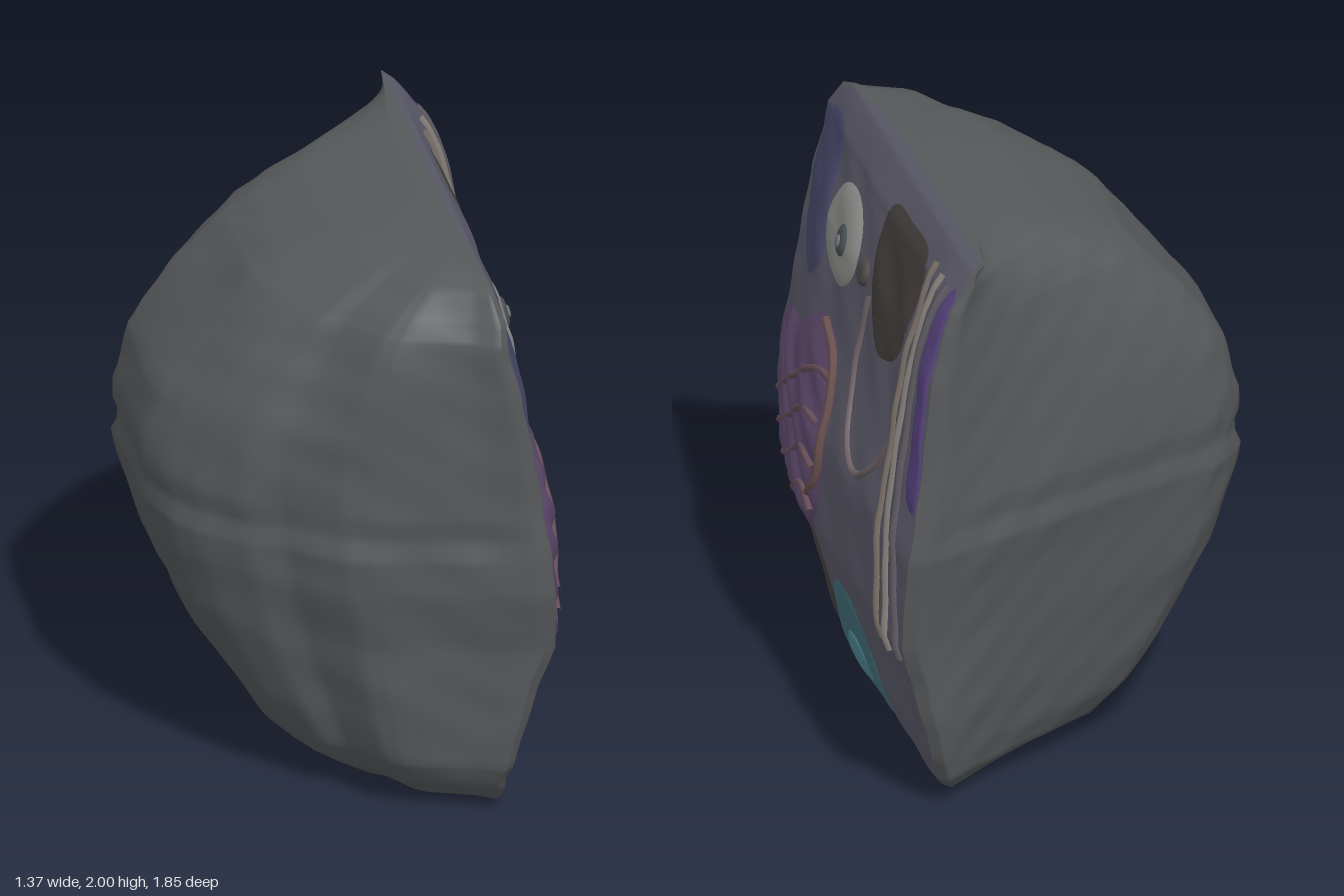
import * as THREE from 'three';

// Height profile: y, left-most x, carved-face x, back z, front z
const PROFILE = [
  [0, 0.05, 0.38, -0.55, 0.62], [0.03, -0.06, 0.44, -0.68, 0.72], [0.1, -0.2, 0.49, -0.78, 0.79],
  [0.2, -0.3, 0.53, -0.82, 0.85], [0.35, -0.4, 0.57, -0.85, 0.87], [0.5, -0.49, 0.61, -0.86, 0.88],
  [0.65, -0.57, 0.66, -0.88, 0.89], [0.85, -0.63, 0.655, -0.9, 0.93], [1.0, -0.67, 0.65, -0.92, 0.93],
  [1.2, -0.675, 0.62, -0.9, 0.91], [1.4, -0.62, 0.585, -0.88, 0.91], [1.6, -0.47, 0.55, -0.87, 0.91],
  [1.78, -0.31, 0.5, -0.85, 0.89], [1.85, -0.2, 0.47, -0.84, 0.86], [1.93, -0.02, 0.41, -0.82, 0.8],
  [1.97, 0.14, 0.38, -0.8, 0.7], [2.0, 0.28, 0.34, -0.79, 0.3],
];

// Rounded rough side seen from above: depth (0 = far left, 1 = carved face), z as share of the width
const OUTLINE = [
  [1, -0.97], [0.96, -1], [0.84, -0.93], [0.69, -0.84], [0.53, -0.75], [0.3, -0.63], [0.1, -0.52], [0.04, -0.45],
  [0, -0.36], [0, 0.18], [0.04, 0.36], [0.1, 0.49], [0.2, 0.62], [0.3, 0.67], [0.375, 0.75], [0.45, 0.83],
  [0.53, 0.87], [0.69, 0.91], [0.84, 0.95], [0.96, 1], [1, 0.97],
];

const lerp = THREE.MathUtils.lerp;
const smooth = THREE.MathUtils.smoothstep;
const FACE_COLS = 44, SUB = 5;

function profileAt(y) {
  let i = 0;
  while (i < PROFILE.length - 2 && y > PROFILE[i + 1][0]) i++;
  const a = PROFILE[i], b = PROFILE[i + 1];
  const t = THREE.MathUtils.clamp((y - a[0]) / (b[0] - a[0]), 0, 1);
  return a.map((v, k) => lerp(v, b[k], t));
}

// Chipped-stone roughness
function rough(x, y, z) {
  return 0.5 * Math.sin(9 * x + 5 * y + 7 * z) + 0.3 * Math.sin(17 * z - 11 * y + 3 * x)
    + 0.2 * Math.sin(31 * y + 23 * x - 19 * z);
}

// The carved face leans back towards the front and is slightly hollow above its middle
function faceX(y, z) {
  const lean = -0.085 * smooth(z, 0.2, 0.95) - 0.03 * smooth(-z, 0.7, 0.95);
  const hollow = -0.04 * smooth(y, 0.9, 1.3) * (1 - smooth(Math.abs(z + 0.05), 0.35, 0.7));
  const k = smooth(y, 0, 0.15) * (1 - smooth(y, 1.75, 2));
  return profileAt(y)[2] + (lean + hollow) * k + 0.009 * rough(0.5, y, z) * k;
}

function ringAt(y) {
  const [, xMin, , zBack, zFront] = profileAt(y);
  const ring = [];
  for (let j = 0; j <= FACE_COLS; j++) {
    const z = lerp(zFront, zBack, j / FACE_COLS) * 0.97;
    ring.push(new THREE.Vector3(faceX(y, z), y, z));
  }
  const groove = 0.025 * Math.exp(-(((y - 1.06) / 0.025) ** 2));
  for (let i = 0; i < OUTLINE.length - 1; i++) {
    for (let s = 0; s < 4; s++) {
      const u = lerp(OUTLINE[i][0], OUTLINE[i + 1][0], s / 4);
      const w = lerp(OUTLINE[i][1], OUTLINE[i + 1][1], s / 4);
      const z = w < 0 ? -w * zBack : w * zFront;
      const x = lerp(xMin, faceX(y, z), u);
      const k = smooth(1 - u, 0, 0.2) * smooth(y, 0, 0.15) * (1 - smooth(y, 1.8, 2));
      const d = k * (0.012 * rough(x, y, z) - groove);
      ring.push(new THREE.Vector3(x - d * (1 - u), y, z + d * w));
    }
  }
  ring.push(ring[0].clone());
  return ring;
}

// Skin a grid of points
function gridGeometry(rows) {
  const n = rows[0].length, index = [];
  for (let i = 0; i < rows.length - 1; i++) {
    for (let j = 0; j < n - 1; j++) {
      const a = i * n + j, b = a + n;
      index.push(a, a + 1, b + 1, a, b + 1, b);
    }
  }
  const g = new THREE.BufferGeometry().setFromPoints(rows.flat());
  g.setIndex(index);
  g.computeVertexNormals();
  return g;
}

function part(name, geometry, color, side = THREE.FrontSide) {
  const m = new THREE.Mesh(geometry, new THREE.MeshStandardMaterial({ color, side }));
  m.name = name;
  return m;
}

// Low raised relief on the carved face; outline points are [z, y]
function patch(name, outline, color, height = 0.012, ribs = 0) {
  const curve = new THREE.CatmullRomCurve3(outline.map(([z, y]) => new THREE.Vector3(0, y, z)), true);
  const rim = curve.getPoints(56);
  const c = new THREE.Vector3();
  outline.forEach(([z, y]) => c.add(new THREE.Vector3(0, y, z)));
  c.divideScalar(outline.length);
  const rows = [];
  for (let r = 0; r <= 14; r++) {
    const t = r / 14;
    rows.push(rim.map((p) => {
      const q = c.clone().lerp(p, t);
      const rib = ribs * Math.sin(38 * (q.y - 0.35 * q.z - 0.3 * q.z * q.z));
      q.x = faceX(q.y, q.z) + (height + rib) * (1 - t ** 6) - 0.004 * t ** 6;
      return q;
    }));
  }
  return part(name, gridGeometry(rows), color, THREE.DoubleSide);
}

// Thin raised vein following the carved face; points are [z, y]
function vein(name, points, color, radius = 0.014, lift = 0) {
  const path = new THREE.CatmullRomCurve3(points.map(([z, y]) => new THREE.Vector3(0, y, z)));
  const onFace = path.getPoints(30).map((p) => p.setX(faceX(p.y, p.z) + lift));
  return part(name, new THREE.TubeGeometry(new THREE.CatmullRomCurve3(onFace), 60, radius, 6), color);
}

const oval = (z, y, rz, ry) => Array.from({ length: 10 }, (_, i) => {
  const a = (i / 10) * Math.PI * 2;
  return [z + rz * Math.cos(a), y + ry * Math.sin(a)];
});

export function createModel() {
  const model = new THREE.Group();
  model.name = 'carvedStone';

  // Stone body: rough rounded side, carved face, base and crown
  const rings = [];
  for (let i = 0; i < PROFILE.length - 1; i++) {
    for (let s = 0; s < SUB; s++) rings.push(ringAt(lerp(PROFILE[i][0], PROFILE[i + 1][0], s / SUB)));
  }
  rings.push(ringAt(2));
  const collapse = (ring) => {
    const [, x0, x1] = profileAt(ring[0].y);
    return ring.map((p) => new THREE.Vector3((x0 + x1) / 2, p.y, p.z * 0.3));
  };
  const last = rings[rings.length - 1];
  model.add(
    part('roughSide', gridGeometry(rings.map((r) => r.slice(FACE_COLS))), 0x56585a),
    part('carvedFace', gridGeometry(rings.map((r) => r.slice(0, FACE_COLS + 1))), 0x5c5b6a),
    part('base', gridGeometry([collapse(rings[0]), rings[0]]), 0x4b5356, THREE.DoubleSide),
    part('crown', gridGeometry([last, collapse(last)]), 0x56585a, THREE.DoubleSide),
  );

  // Coloured mineral areas
  model.add(
    patch('blueArea', [[0.83, 1.4], [0.84, 1.85], [0.6, 1.88], [0.55, 1.65], [0.5, 1.42], [0.65, 1.3]], 0x4c4c70, 0.008),
    patch('darkBand', [[0.0, 1.88], [-0.02, 1.55], [-0.2, 1.4], [-0.42, 1.5], [-0.45, 1.88], [-0.2, 1.91]], 0x45403e, 0.007),
    patch('brownArea', [[0.8, 0.4], [0.65, 0.15], [0.35, 0.12], [0.2, 0.4], [0.3, 0.56], [0.6, 0.55]], 0x4a4344, 0.008),
    patch('purpleEdge', [[-0.74, 1.93], [-0.79, 1.9], [-0.83, 1.5], [-0.86, 1.12], [-0.8, 1.15], [-0.76, 1.5]], 0x54407a, 0.01),
    patch('purpleFan', [[0.88, 1.1], [0.6, 1.18], [0.35, 1.32], [0.16, 1.25], [0.08, 1.0], [0.1, 0.7],
      [0.25, 0.56], [0.5, 0.5], [0.75, 0.53], [0.86, 0.7]], 0x5f4a6e, 0.024, 0.009),
    patch('tealFan', [[0.24, 0.06], [0.24, 0.3], [0.12, 0.45], [-0.08, 0.48], [-0.17, 0.3], [-0.24, 0.06], [0, 0.04]], 0x44707c, 0.014),
    patch('tealCore', oval(0.02, 0.2, 0.12, 0.1), 0x4f8b98, 0.024),
    patch('paleSpot', oval(0.34, 1.6, 0.2, 0.17), 0x8d8d8b, 0.022),
    patch('spotRing', oval(0.28, 1.61, 0.065, 0.065), 0x4a5052, 0.034),
    patch('spotCentre', oval(0.28, 1.61, 0.03, 0.03), 0x6d7477, 0.042),
    patch('smallSpot', oval(0.07, 1.59, 0.05, 0.05), 0x50494a, 0.018),
  );

  // Ribs of the purple fan
  for (let i = 0; i < 4; i++) {
    const y = 1.08 - i * 0.14;
    model.add(vein('fanRib', [[0.8 - i * 0.04, y - 0.25 + i * 0.04], [0.5, y - 0.06], [0.3, y + 0.06], [0.14, y + 0.09 - i * 0.02]],
      0x69505a, 0.014, 0.018));
  }
  model.add(vein('fanRim', [[0.33, 1.3], [0.18, 1.23], [0.1, 1.02], [0.12, 0.82], [0.25, 0.7]], 0x6b5150, 0.016, 0.012));

  // Tan stripes beside the back edge and the hanging loop
  [[-0.52, 0x7a7068], [-0.62, 0x86807a], [-0.7, 0x5f5a62]].forEach(([z, color]) => {
    model.add(vein('tanStripe', [[z, 1.9], [z - 0.01, 1.5], [z - 0.06, 1.0], [z - 0.12, 0.6]], color, 0.016));
  });
  model.add(vein('loop', [[-0.02, 1.55], [0, 1.3], [-0.1, 1.1], [-0.25, 1.02], [-0.4, 1.1], [-0.54, 1.3]], 0x6f6266, 0.014));
  return model;
}
